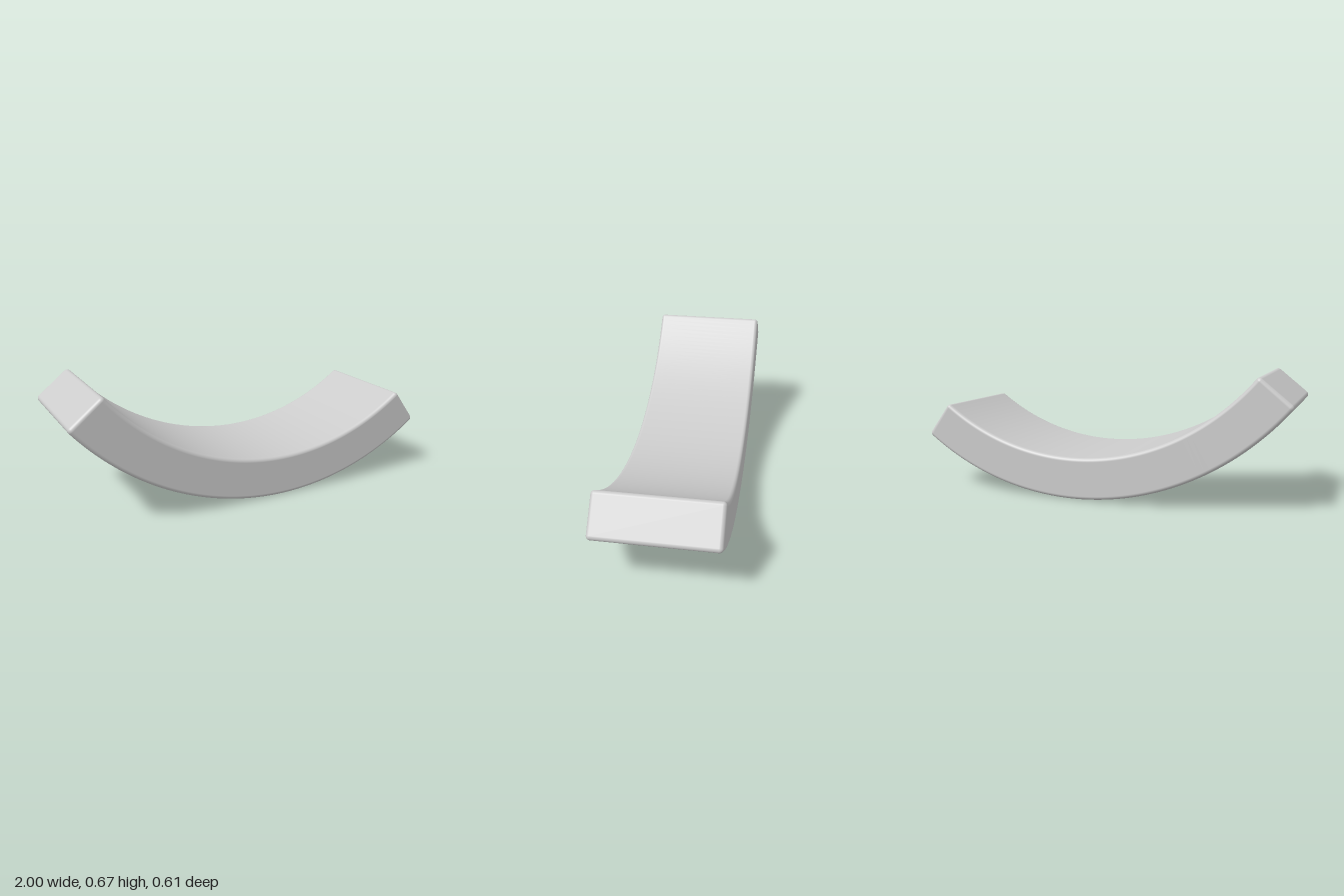
import * as THREE from 'three';

// Box with rounded edges, kept finely divided so that it can be bent.
function roundedBar(length, height, depth, radius, edgeSteps, middleSteps) {
  const size = [length, height, depth];
  const steps = middleSteps.map((m) => m + 2 * edgeSteps);
  const geometry = new THREE.BoxGeometry(1, 1, 1, ...steps);
  const { position, normal } = geometry.attributes;
  const p = new THREE.Vector3();
  const core = new THREE.Vector3();
  const dir = new THREE.Vector3();

  for (let i = 0; i < position.count; i++) {
    for (let axis = 0; axis < 3; axis++) {
      // dense rows in the rounded edges, even rows in between
      const k = Math.round((position.getComponent(i, axis) + 0.5) * steps[axis]);
      const half = size[axis] / 2;
      const inner = half - radius;
      let v;
      if (k < edgeSteps) v = -half + (radius * k) / edgeSteps;
      else if (k > steps[axis] - edgeSteps) v = half - (radius * (steps[axis] - k)) / edgeSteps;
      else v = inner * ((2 * (k - edgeSteps)) / middleSteps[axis] - 1);
      p.setComponent(axis, v);
      core.setComponent(axis, THREE.MathUtils.clamp(v, -inner, inner));
    }
    dir.subVectors(p, core).normalize();
    p.copy(core).addScaledVector(dir, radius);
    position.setXYZ(i, p.x, p.y, p.z);
    normal.setXYZ(i, dir.x, dir.y, dir.z);
  }
  return geometry;
}

// Wraps the bar's x axis around a circle whose centre lies above it.
function bend(geometry, radius, middleAngle, cx, cy) {
  const { position, normal } = geometry.attributes;
  for (let i = 0; i < position.count; i++) {
    const a = middleAngle + position.getX(i) / radius;
    const r = radius - position.getY(i);
    const s = Math.sin(a);
    const c = Math.cos(a);
    const nx = normal.getX(i);
    const ny = normal.getY(i);
    position.setXY(i, cx + r * s, cy - r * c);
    normal.setXY(i, nx * c - ny * s, nx * s + ny * c);
  }
  return geometry;
}

export function createModel() {
  const outer = 1.46;
  const inner = 1.238;
  const middle = (outer + inner) / 2;
  const start = THREE.MathUtils.degToRad(-51.1);
  const end = THREE.MathUtils.degToRad(37);

  const bar = roundedBar(middle * (end - start), outer - inner, 0.61, 0.02, 4, [72, 1, 1]);
  bend(bar, middle, (start + end) / 2, 0.13, outer);

  const block = new THREE.Mesh(bar, new THREE.MeshStandardMaterial({ color: 0xcccccc }));
  block.name = 'curvedBlock';

  const group = new THREE.Group();
  group.name = 'archSegment';
  group.add(block);
  return group;
}
